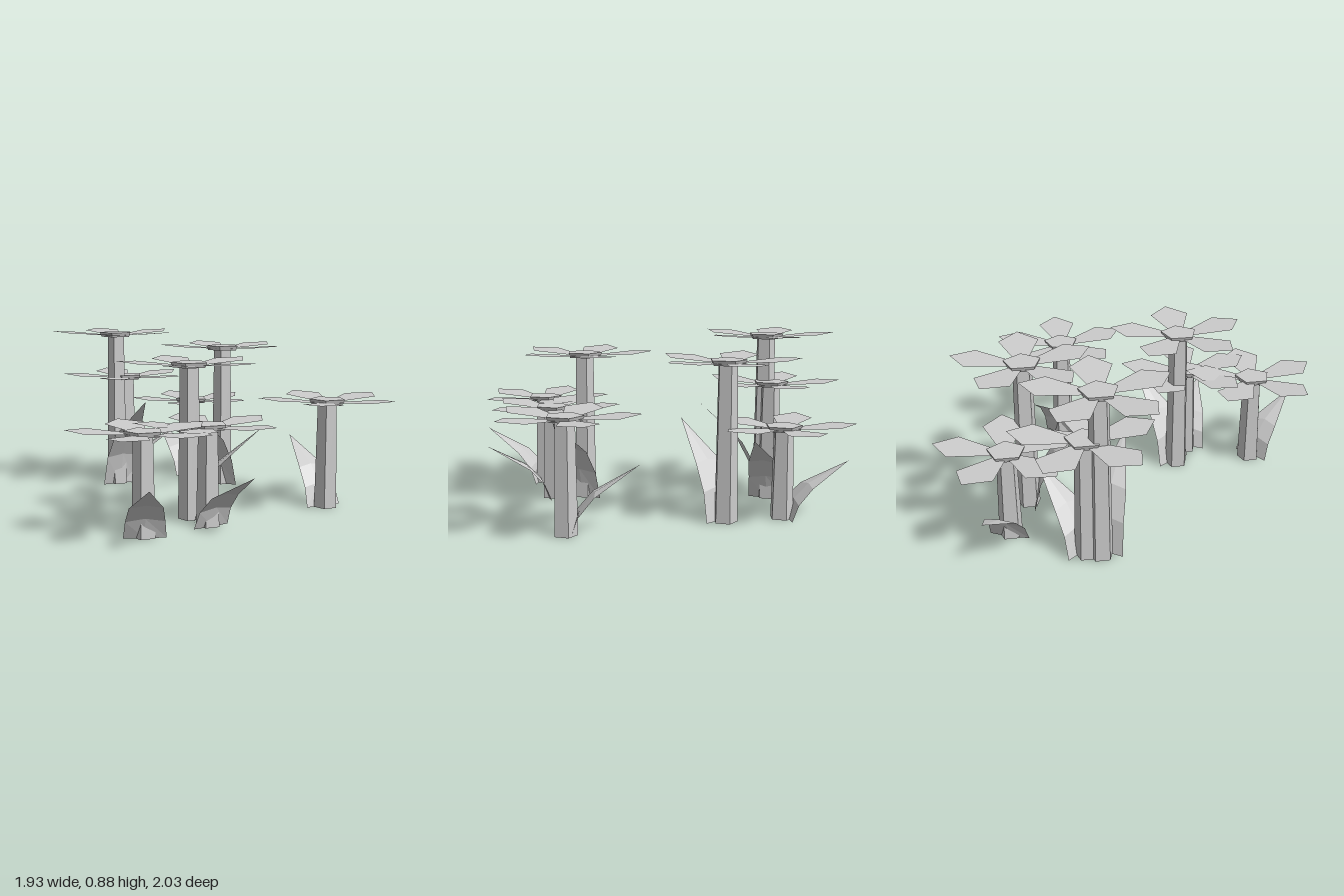
import * as THREE from 'three';

const grey = new THREE.MeshStandardMaterial({ color: 0xcccccc, flatShading: true, side: THREE.DoubleSide });
grey.name = 'plain grey';

// x, z, height, leaf angle in degrees (from +x towards +z)
const FLOWERS = [
  [-0.67, -0.27, 0.87, 29],
  [-0.145, -0.57, 0.795, 90],
  [0.13, 0.26, 0.775, -30],
  [0.61, -0.31, 0.565, 212],
  [-0.415, -0.68, 0.465, 203],
  [0.13, 0.67, 0.495, 53],
  [0.28, 0.34, 0.495, 24],
  [-0.65, -0.335, 0.625, -35],
];

function part(name, geometry) {
  const mesh = new THREE.Mesh(geometry, grey);
  mesh.name = name;
  return mesh;
}

// Five-sided prism with one corner pointing along +x
function prism(top, bottom, y0, y1) {
  const g = new THREE.CylinderGeometry(top, bottom, y1 - y0, 5, 1, false, Math.PI / 2);
  return g.translate(0, (y0 + y1) / 2, 0);
}

// Flat pointed petal along +x, rising slightly outwards
function petalGeometry() {
  const s = new THREE.Shape();
  s.moveTo(0.06, -0.033);
  s.lineTo(0.26, -0.1);
  s.lineTo(0.36, 0);
  s.lineTo(0.26, 0.1);
  s.lineTo(0.06, 0.033);
  const g = new THREE.ShapeGeometry(s).rotateX(-Math.PI / 2);
  const p = g.attributes.position;
  for (let i = 0; i < p.count; i++) p.setY(i, -0.02 + 0.075 * p.getX(i));
  return g;
}

// Creased leaf: rows of left edge, midrib and right edge, curving out along +x
function leafGeometry(height) {
  // distance from stem, height fraction, half width
  const rows = [[0.03, 0, 0.1], [0.065, 0.35, 0.092], [0.14, 0.62, 0.078], [0.35, 1, 0]];
  const points = [], index = [];
  rows.forEach(([r, y, w], i) => {
    const drop = w * 0.17;
    for (const side of [-1, 0, 1]) {
      const edge = Math.abs(side);
      points.push(r - edge * drop * 0.6, Math.max(0, y * height - edge * drop), side * w);
    }
    if (i === 0) return;
    for (let k = 0; k < 2; k++) {
      const a = (i - 1) * 3 + k, b = a + 1, c = a + 3, d = a + 4;
      if (i < rows.length - 1) index.push(a, b, d, a, d, c);
      else index.push(a, b, c);
    }
  });
  const g = new THREE.BufferGeometry();
  g.setAttribute('position', new THREE.Float32BufferAttribute(points, 3));
  g.setIndex(index);
  const flat = g.toNonIndexed();
  flat.computeVertexNormals();
  return flat;
}

export function createModel() {
  const model = new THREE.Group();
  model.name = 'flowerCluster';
  const petal = petalGeometry();

  for (const [x, z, h, angle] of FLOWERS) {
    const flower = new THREE.Group();
    flower.name = 'flower';
    flower.position.set(x, 0, z);

    flower.add(part('stem', prism(0.05, 0.06, 0, h - 0.02)));
    flower.add(part('flowerCentre', prism(0.095, 0.085, h - 0.025, h)));

    for (let i = 0; i < 5; i++) {
      const p = part('petal', petal);
      p.position.y = h;
      p.rotation.y = (i * Math.PI * 2) / 5;
      flower.add(p);
    }

    const leaf = part('leaf', leafGeometry(h * 0.585));
    leaf.rotation.y = -THREE.MathUtils.degToRad(angle);
    flower.add(leaf);

    model.add(flower);
  }
  return model;
}
